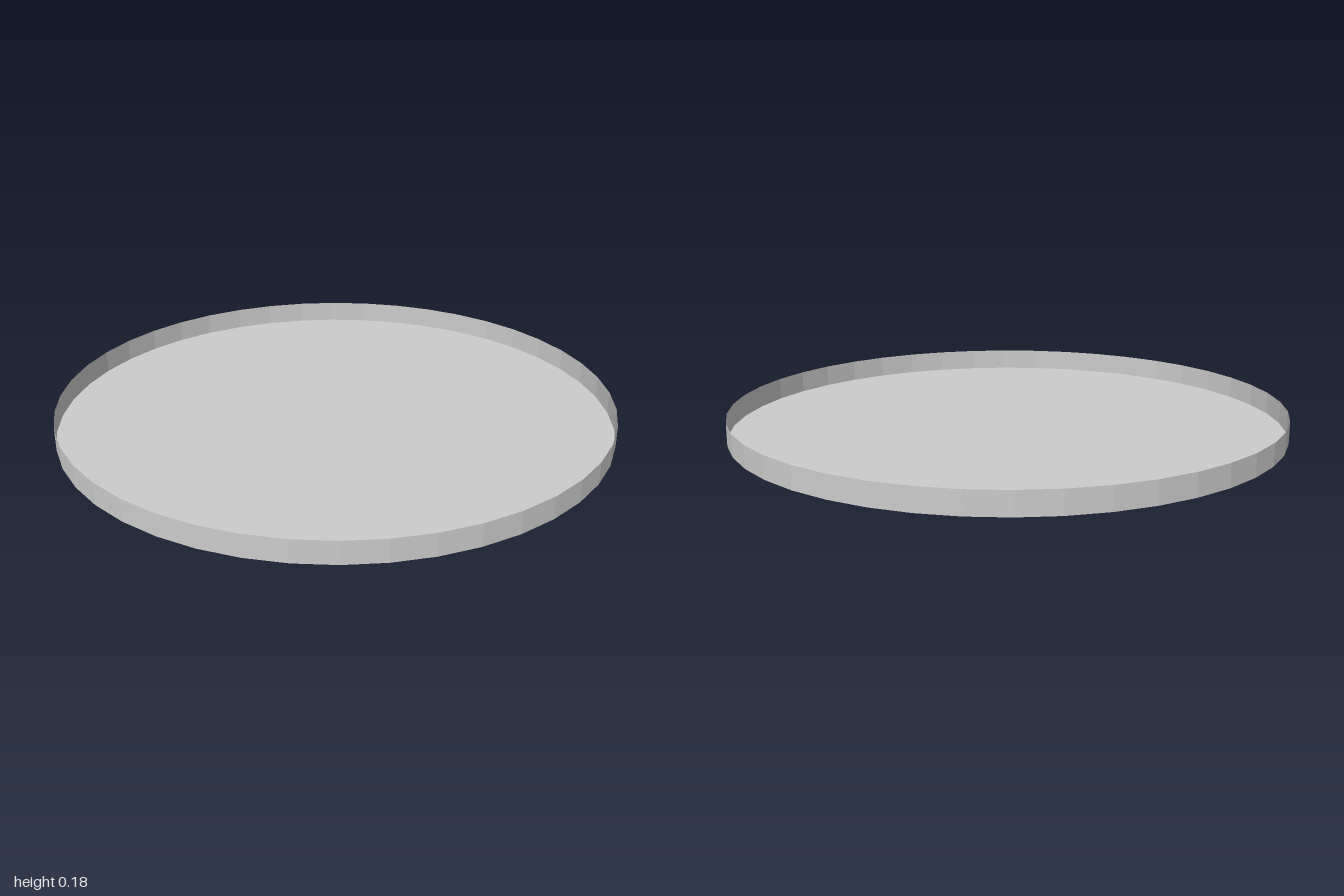
import * as THREE from 'three';

export function createModel() {
  const group = new THREE.Group();
  const sides = 44;
  const floorY = 0.1, rimY = 0.18, radius = 1;

  const grey = new THREE.MeshStandardMaterial({ color: 0xcccccc, flatShading: true, side: THREE.DoubleSide });
  const red = new THREE.MeshStandardMaterial({ color: 0xdd0808, side: THREE.DoubleSide });

  function add(name, geometry, material, x, y, z) {
    const mesh = new THREE.Mesh(geometry, material);
    mesh.name = name;
    mesh.position.set(x, y, z);
    group.add(mesh);
  }

  // Thin open tray: upright rim around a flat floor
  const rim = new THREE.CylinderGeometry(radius, radius, rimY - floorY, sides, 1, true);
  add('trayRim', rim, grey, 0, (rimY + floorY) / 2, 0);
  // The floor's corners line up with the rim's
  const floor = new THREE.CircleGeometry(radius, sides).rotateX(-Math.PI / 2);
  add('trayFloor', floor, grey, 0, floorY, 0);

  // Flattened domes under the floor, serving as feet
  const profile = [[0, 0], [0.14, 0.003], [0.205, 0.022], [0.245, 0.058], [0.263, floorY - 0.001]]
    .map(([r, y]) => new THREE.Vector2(r, y));
  const dome = new THREE.LatheGeometry(profile, 16);
  const feet = { footRight: [-0.33, 0.275], footLeft: [0.38, 0.255], footBack: [-0.04, -0.43] };
  for (const [name, [x, z]] of Object.entries(feet)) add(name, dome, red, x, 0, z);

  return group;
}
